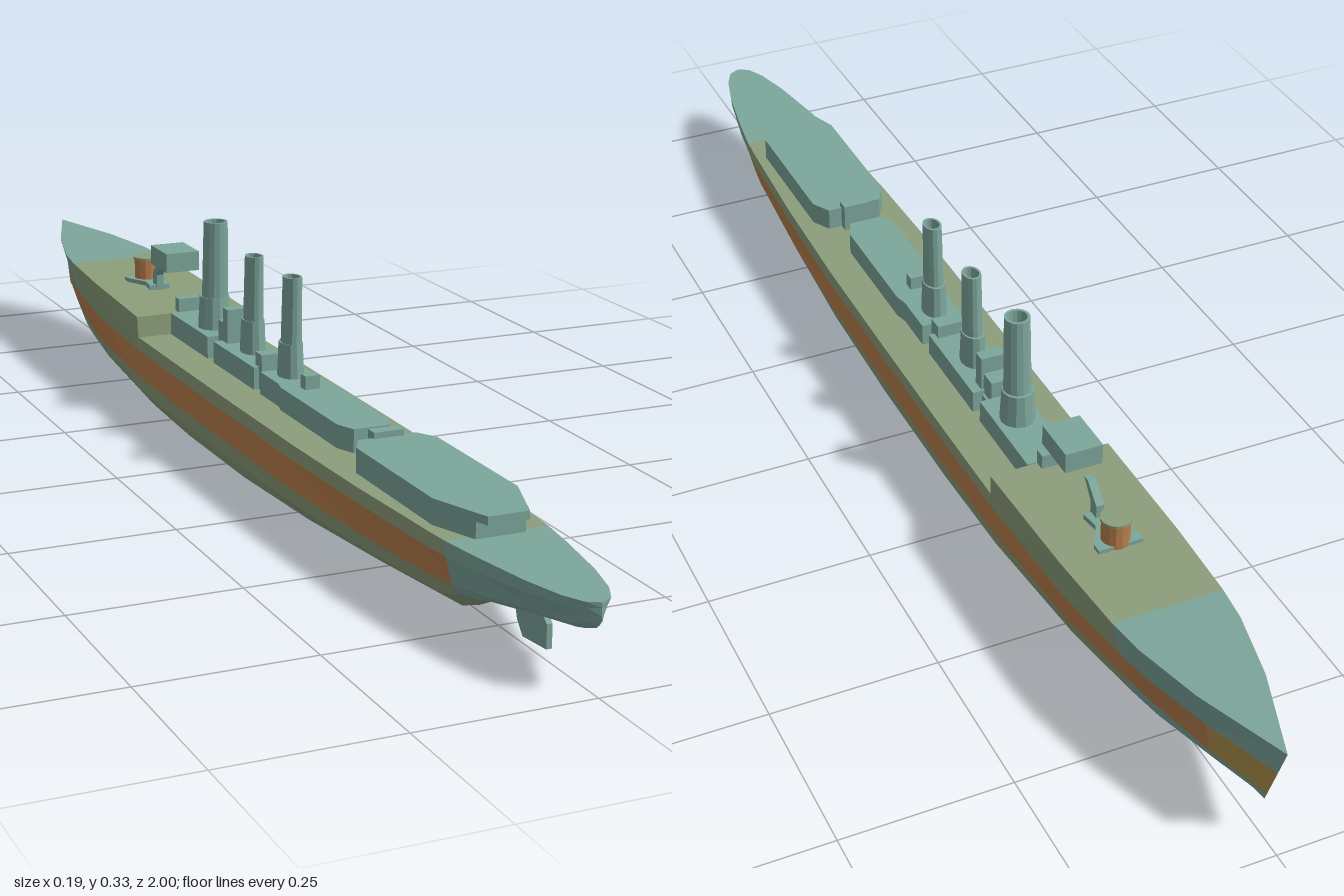
import * as THREE from 'three';

const paint = (color) => new THREE.MeshStandardMaterial({ color, flatShading: true, side: THREE.DoubleSide });

// Hull stations, stern to bow: z, keel y, half-widths at bilge, belt bottom, belt top and deck
const STATIONS = [
  [1, 0.1, 0, 0, 0, 0],
  [0.99, 0.086, 0.004, 0.009, 0.014, 0.018],
  [0.96, 0.075, 0.01, 0.02, 0.03, 0.033],
  [0.9, 0.066, 0.014, 0.033, 0.047, 0.049],
  [0.8, 0.049, 0.018, 0.053, 0.065, 0.066],
  [0.74, 0.03, 0.022, 0.063, 0.073, 0.074],
  [0.7, 0.01, 0.026, 0.068, 0.077, 0.077],
  [0.5, 0.005, 0.046, 0.082, 0.087, 0.087],
  [0.3, 0.002, 0.064, 0.091, 0.093, 0.092],
  [0.08, 0, 0.074, 0.093, 0.094, 0.093],
  [-0.15, 0, 0.074, 0.093, 0.094, 0.093],
  [-0.33, 0, 0.066, 0.09, 0.092, 0.092],
  [-0.331, 0, 0.066, 0.09, 0.092, 0.094],
  [-0.55, 0.004, 0.045, 0.076, 0.084, 0.09],
  [-0.69, 0.01, 0.028, 0.057, 0.069, 0.083],
  [-0.75, 0.015, 0.02, 0.047, 0.06, 0.076],
  [-0.86, 0.041, 0.008, 0.024, 0.034, 0.05],
  [-1, 0.064, 0, 0, 0, 0],
];

// Cross-section from keel to deck centre; belt and deck rise towards the ends,
// the deck steps up at the forecastle and the stem rakes aft towards the keel
function section([z, keel, bilge, wl, wm, w]) {
  const bow = Math.max(0, (-z - 0.33) / 0.67), stern = Math.max(0, (z - 0.3) / 0.7);
  const deck = bow > 0 ? 0.157 + 0.021 * bow : 0.122;
  const hi = 0.1 + 0.03 * bow ** 2 + 0.015 * stern ** 6;
  const lo = 0.054 + 0.021 * bow ** 2 + 0.05 * stern ** 4;
  const rake = Math.max(0, (-z - 0.86) / 0.14) * 0.04;
  const pts = [[0, keel], [bilge, keel + 0.003], [bilge + (wl - bilge) * 0.72, (keel + lo) / 2],
    [wl, lo], [wm, hi], [w, deck], [0, deck]];
  return pts.map(([x, y]) => [x, y, z + rake * (deck - y) / (deck - keel)]);
}

export function createModel() {
  const ship = new THREE.Group();
  ship.name = 'warship';
  const teal = paint(0x7da69b), green = paint(0x8c9e7b), orange = paint(0xb97f4c), ochre = paint(0xaf924c);
  const dark = paint(0x2b3735);

  const add = (name, geometry, material = teal, parent = ship) => {
    const mesh = new THREE.Mesh(geometry, material);
    mesh.name = name;
    parent.add(mesh);
    return mesh;
  };
  const box = (name, hw, y0, y1, z0, z1) =>
    add(name, new THREE.BoxGeometry(hw * 2, y1 - y0, z1 - z0)).position.set(0, (y0 + y1) / 2, (z0 + z1) / 2);
  // Plan outline given as half-width / z pairs, mirrored and raised from y0 to y1
  const house = (name, half, y0, y1) => {
    const outline = [...half, ...half.map(([x, z]) => [-x, z]).reverse()];
    const shape = new THREE.Shape(outline.map(([x, z]) => new THREE.Vector2(x, -z)));
    const g = new THREE.ExtrudeGeometry(shape, { depth: y1 - y0, bevelEnabled: false });
    add(name, g.rotateX(-Math.PI / 2).translate(0, y0, 0));
  };
  // Thin plate from a side profile of z / y pairs
  const plate = (name, profile, thick) => {
    const shape = new THREE.Shape(profile.map(([z, y]) => new THREE.Vector2(-z, y)));
    const g = new THREE.ExtrudeGeometry(shape, { depth: thick, bevelEnabled: false });
    add(name, g.translate(0, 0, -thick / 2).rotateY(Math.PI / 2));
  };

  // Hull: skin between stations, sorted into painted zones
  const zones = { hullEnds: [teal, []], hullMiddle: [green, []], armourBelt: [orange, []], bowBelt: [ochre, []] };
  const rings = STATIONS.map(section);
  const flip = ([x, y, z]) => [-x, y, z];
  for (let i = 0; i < rings.length - 1; i++) {
    const z = (STATIONS[i][0] + STATIONS[i + 1][0]) / 2;
    for (let r = 0; r < 6; r++) {
      let zone = z < 0.74 && z > -0.69 ? 'hullMiddle' : 'hullEnds';
      if (r === 3 && z < 0.74) zone = z < -0.86 ? 'bowBelt' : 'armourBelt';
      const a = rings[i][r], b = rings[i + 1][r], c = rings[i + 1][r + 1], d = rings[i][r + 1];
      const left = [a, b, c, a, c, d];
      const right = [a, c, b, a, d, c].map(flip);
      zones[zone][1].push(...left.flat(), ...right.flat());
    }
  }
  for (const [name, [material, verts]] of Object.entries(zones)) {
    const g = new THREE.BufferGeometry();
    g.setAttribute('position', new THREE.Float32BufferAttribute(verts, 3));
    g.computeVertexNormals();
    add(name, g, material);
  }

  // Rudder under the stern
  plate('rudder', [[0.88, 0.05], [0.88, 0.017], [0.82, 0.012], [0.805, 0.03], [0.8, 0.045], [0.82, 0.066], [0.86, 0.066]], 0.008);

  // Aft deckhouse with an overhanging roof
  house('aftDeckhouse', [[0.045, 0.42], [0.062, 0.45], [0.062, 0.68], [0.036, 0.75]], 0.118, 0.146);
  house('aftDeckhouseRoof', [[0.045, 0.42], [0.062, 0.45], [0.062, 0.68], [0.03, 0.77]], 0.146, 0.158);
  box('aftLocker', 0.023, 0.118, 0.167, 0.405, 0.425);

  // Midship deckhouses
  house('midDeckhouse', [[0.035, 0.05], [0.035, 0.12], [0.04, 0.14], [0.04, 0.34], [0.028, 0.37]], 0.118, 0.157);
  box('funnelDeckhouse', 0.035, 0.118, 0.157, -0.14, 0.025);
  box('forwardDeckhouse', 0.035, 0.118, 0.158, -0.33, -0.165);
  box('walkway', 0.02, 0.118, 0.15, -0.17, -0.13);
  box('ventBlock', 0.026, 0.118, 0.178, 0.01, 0.035);
  box('aftVent', 0.012, 0.155, 0.178, 0.15, 0.167);
  box('searchlightTower', 0.02, 0.155, 0.212, -0.137, -0.117);
  box('towerStep', 0.016, 0.15, 0.185, -0.165, -0.137);
  box('forwardVent', 0.02, 0.155, 0.18, -0.347, -0.33);

  // Three funnels: casing, raked hollow pipe and dark throat
  for (const [z, rx, rz, top] of [[0.085, 0.015, 0.02, 0.312], [-0.062, 0.015, 0.02, 0.312], [-0.222, 0.021, 0.021, 0.334]]) {
    const funnel = new THREE.Group();
    funnel.name = 'funnel';
    funnel.position.set(0, 0.155, z);
    ship.add(funnel);
    const h = top - 0.155;
    const casing = new THREE.CylinderGeometry(1.15, 1.29, 0.055, 12).scale(rx, 1, rz).translate(0, 0.0275, 0);
    const profile = [[1.05, 0], [0.93, h], [0.72, h], [0.72, h - 0.03]].map(([x, y]) => new THREE.Vector2(x, y));
    const pipe = new THREE.LatheGeometry(profile, 14).scale(rx, 1, rz);
    const throat = new THREE.CircleGeometry(0.72, 14).rotateX(-Math.PI / 2).scale(rx, 1, rz).translate(0, h - 0.03, 0);
    for (const g of [pipe, throat]) {
      const p = g.attributes.position;
      for (let i = 0; i < p.count; i++) p.setZ(i, p.getZ(i) + p.getY(i) * 0.04);
    }
    add('funnelCasing', casing, teal, funnel);
    add('funnelPipe', pipe, teal, funnel);
    add('funnelThroat', throat, dark, funnel);
  }

  // Raised bridge box
  box('bridge', 0.029, 0.218, 0.25, -0.437, -0.363);

  // Conning tower with its base and sloping support
  add('conningTower', new THREE.CylinderGeometry(0.021, 0.021, 0.046, 14), orange).position.set(0, 0.182, -0.537);
  add('conningTowerRoof', new THREE.CylinderGeometry(0.023, 0.023, 0.004, 14), green).position.set(0, 0.205, -0.537);
  house('towerBase', [[0.034, -0.555], [0.034, -0.54], [0.014, -0.505], [0.018, -0.475]], 0.156, 0.17);
  plate('bridgeSupport', [[-0.45, 0.216], [-0.462, 0.216], [-0.49, 0.19], [-0.49, 0.16], [-0.472, 0.16], [-0.472, 0.188]], 0.012);

  return ship;
}
